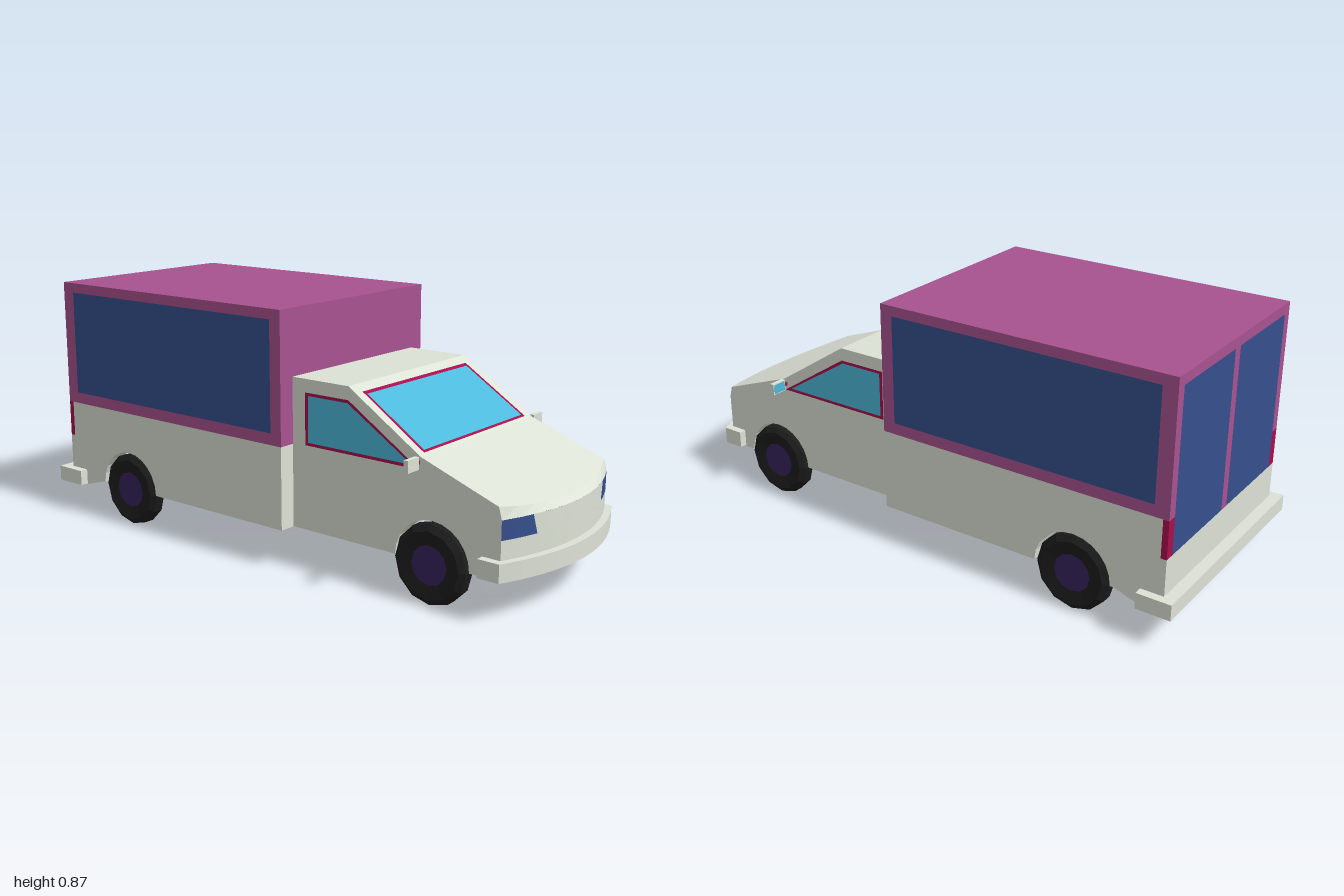
import * as THREE from 'three';

const mat = (color) => new THREE.MeshStandardMaterial({ color, flatShading: true, side: THREE.DoubleSide });
const BODY = mat(0xdde2d6), BOX = mat(0xa8528f), BLUE = mat(0x364f8d), GLASS = mat(0x4db9dc);
const RED = mat(0xa80f4c), BLACK = mat(0x1c1c1c), HUB = mat(0x38235c);

const lerp = THREE.MathUtils.lerp;
const pts = (list) => list.map(([a, b]) => new THREE.Vector2(a, b));
const rect = (a, b, c, d) => [[a, b], [c, b], [c, d], [a, d]];
const SILL = 0.135;

export function createModel() {
  const van = new THREE.Group();
  van.name = 'boxVan';

  const add = (name, geometry, material) => {
    const mesh = new THREE.Mesh(geometry, material);
    mesh.name = name;
    van.add(mesh);
    return mesh;
  };

  // Flat panel with optional holes, placed in space by place(u, v)
  const panel = (name, material, outline, holes, place) => {
    const shape = new THREE.Shape(pts(outline));
    holes.forEach((h) => shape.holes.push(new THREE.Path(pts(h))));
    const g = new THREE.ShapeGeometry(shape), p = g.attributes.position;
    for (let i = 0; i < p.count; i++) p.setXYZ(i, ...place(p.getX(i), p.getY(i)));
    g.computeVertexNormals();
    return add(name, g, material);
  };

  // Curved sheet: fn(s, t) with s, t from 0 to 1 (t = 1 is the top)
  const sheet = (name, material, cols, rows, fn) => {
    const g = new THREE.PlaneGeometry(1, 1, cols, rows), p = g.attributes.position;
    for (let i = 0; i < p.count; i++) p.setXYZ(i, ...fn(p.getX(i) + 0.5, p.getY(i) + 0.5));
    g.computeVertexNormals();
    return add(name, g, material);
  };

  // Flat ledge running inward along a bottom edge of [z, y] points
  const ledge = (name, path, x0, x1) =>
    sheet(name, BODY, path.length - 1, 1, (s, t) => {
      const [z, y] = path[Math.round(s * (path.length - 1))];
      return [lerp(x0, x1, t), y, z];
    });

  // Half-round wheel arch, listed from back to front
  const arch = (z) => Array.from({ length: 13 }, (_, i) => {
    const a = Math.PI * (1 - i / 12);
    return [z + 0.137 * Math.cos(a), SILL + 0.137 * Math.sin(a)];
  });

  const noseZ = (x) => 0.975 - 0.7 * x * x;
  const hoodEdgeZ = (x) => 0.953 - 0.6 * x * x;
  const hoodY = (z) => 0.465 - 0.362 * (z - 0.61);
  const frontZ = noseZ(0.33), edgeZ = hoodEdgeZ(0.33);

  // Cab and box sides
  const cabBottom = [[0.1, SILL], ...arch(0.655), [frontZ, SILL]];
  const boxBottom = [[-0.96, 0.11], [-0.87, 0.11], [-0.79, SILL], ...arch(-0.64), [0.1, SILL]];
  const cabSide = [...cabBottom, [frontZ, 0.325], [edgeZ, hoodY(edgeZ)], [0.61, 0.465], [0.33, 0.645], [0.1, 0.645]];
  const windowRim = [[0.153, 0.424], [0.606, 0.424], [0.33, 0.6], [0.153, 0.6]];
  const windowPane = [[0.165, 0.434], [0.577, 0.434], [0.327, 0.59], [0.165, 0.59]];
  const sidePanel = rect(-0.91, 0.46, 0.055, 0.835);
  const lamp = rect(-0.96, 0.29, -0.94, 0.42);
  for (const [side, k] of [['left', 1], ['right', -1]]) {
    const cab = (z, y) => [k * 0.33, y, z], box = (z, y) => [k * 0.39, y, z];
    panel(side + 'CabSide', BODY, cabSide, [windowRim], cab);
    panel(side + 'WindowFrame', RED, windowRim, [windowPane], cab);
    panel(side + 'WindowGlass', GLASS, windowPane, [], cab);
    ledge(side + 'CabSill', cabBottom, k * 0.33, k * 0.275);

    panel(side + 'BoxLowerSide', BODY,
      [...boxBottom, [0.1, 0.42], [-0.94, 0.42], [-0.94, 0.29], [-0.96, 0.29]], [], box);
    panel(side + 'TailLightSide', RED, lamp, [], box);
    panel(side + 'BoxUpperSide', BOX, rect(-0.96, 0.42, 0.1, 0.87), [sidePanel], box);
    panel(side + 'BoxSidePanel', BLUE, sidePanel, [], box);
    ledge(side + 'BoxSill', boxBottom, k * 0.39, k * 0.33);

    // Rear face, half per side
    const rear = (x, y) => [k * x, y, -0.96];
    panel(side + 'RearLowerPanel', BODY, rect(0, 0.11, 0.39, 0.29), [], rear);
    panel(side + 'RearDoorPanel', BLUE, rect(0.018, 0.29, 0.355, 0.835), [], rear);
    panel(side + 'TailLightRear', RED, rect(0.355, 0.29, 0.39, 0.42), [], rear);
    panel(side + 'RearDoorFrame', BOX, [[0, 0.29], [0.018, 0.29], [0.018, 0.835], [0.355, 0.835],
      [0.355, 0.42], [0.39, 0.42], [0.39, 0.87], [0, 0.87]], [], rear);

    // Shoulder between cab and wider box
    panel(side + 'BoxShoulder', BODY, rect(0.33, SILL, 0.39, 0.42), [], (x, y) => [k * x, y, 0.1]);

    // Headlight set in the curved nose
    sheet(side + 'Headlight', BLUE, 3, 1, (s, t) => {
      const x = lerp(lerp(0.203, 0.22, t), 0.33, s);
      return [k * x, lerp(0.262, 0.325, t), noseZ(x)];
    });

    // Door mirror
    add(side + 'MirrorStrut', new THREE.BoxGeometry(0.03, 0.012, 0.01), RED).position.set(k * 0.338, 0.448, 0.602);
    add(side + 'MirrorHousing', new THREE.BoxGeometry(0.058, 0.04, 0.016), BODY).position.set(k * 0.371, 0.448, 0.604);
    add(side + 'MirrorGlass', new THREE.BoxGeometry(0.05, 0.033, 0.002), GLASS).position.set(k * 0.371, 0.448, 0.595);
  }

  // Box roof and front wall, open where the cab joins
  panel('boxRoof', BOX, rect(-0.39, -0.96, 0.39, 0.1), [], (x, z) => [x, 0.87, z]);
  panel('boxFrontWall', BOX, [[-0.39, 0.42], [-0.33, 0.42], [-0.33, 0.645], [0.33, 0.645],
    [0.33, 0.42], [0.39, 0.42], [0.39, 0.87], [-0.39, 0.87]], [], (x, y) => [x, y, 0.1]);

  // Cab roof and windscreen
  panel('cabRoof', BODY, rect(-0.33, 0.1, 0.33, 0.33), [], (x, z) => [x, 0.645, z]);
  const slope = (x, y) => [x, y, 0.33 + (0.645 - y) / 0.18 * 0.28];
  const screenRim = [[-0.3, 0.471], [0.3, 0.471], [0.295, 0.626], [-0.295, 0.626]];
  const screenPane = [[-0.289, 0.476], [0.289, 0.476], [0.284, 0.619], [-0.284, 0.619]];
  panel('windscreenSurround', BODY, rect(-0.33, 0.465, 0.33, 0.645), [screenRim], slope);
  panel('windscreenFrame', RED, screenRim, [screenPane], slope);
  panel('windscreenGlass', GLASS, screenPane, [], slope);

  // Hood and curved nose
  sheet('hood', BODY, 10, 1, (s, t) => {
    const x = lerp(-0.33, 0.33, s), z = lerp(hoodEdgeZ(x), 0.61, t);
    return [x, hoodY(z), z];
  });
  sheet('noseLip', BODY, 10, 1, (s, t) => {
    const x = lerp(-0.33, 0.33, s), z = hoodEdgeZ(x);
    return [x, lerp(0.325, hoodY(z), t), lerp(noseZ(x), z, t)];
  });
  sheet('grillePanel', BODY, 8, 1, (s, t) => {
    const w = lerp(0.203, 0.22, t), x = lerp(-w, w, s);
    return [x, lerp(0.262, 0.325, t), noseZ(x)];
  });
  sheet('noseLower', BODY, 10, 1, (s, t) => {
    const x = lerp(-0.33, 0.33, s);
    return [x, lerp(SILL, 0.262, t), noseZ(x)];
  });

  // Bumpers: C-shaped plan outlines in x, z, raised to a height
  const bumper = (name, outline, y, height) => {
    const shape = new THREE.Shape(pts(outline.map(([x, z]) => [x, -z])));
    const g = new THREE.ExtrudeGeometry(shape, { depth: height, bevelEnabled: false });
    add(name, g.rotateX(-Math.PI / 2), BODY).position.y = y;
  };
  const curve = (w, z0) => Array.from({ length: 11 }, (_, i) => {
    const x = lerp(-w, w, i / 10);
    return [x, z0 - 0.7 * x * x];
  });
  bumper('frontBumper', [[-0.357, 0.835], ...curve(0.357, 1), [0.357, 0.835], [0.31, 0.835],
    ...curve(0.31, 0.945).reverse(), [-0.31, 0.835]], 0.14, 0.06);
  bumper('rearBumper', [[-0.42, -0.88], [-0.42, -1], [0.42, -1], [0.42, -0.88],
    [0.36, -0.88], [0.36, -0.93], [-0.36, -0.93], [-0.36, -0.88]], 0.11, 0.055);

  // Axles and wheels
  const tyreProfile = pts([[0.065, -0.026], [0.112, -0.0325], [0.132, -0.018], [0.132, 0.018], [0.112, 0.0325], [0.065, 0.026]]);
  for (const [place, z, outer] of [['front', 0.655, 0.35], ['rear', -0.64, 0.395]]) {
    const axle = new THREE.CylinderGeometry(0.024, 0.024, outer * 2 - 0.1, 10).rotateZ(Math.PI / 2);
    add(place + 'Axle', axle, BLACK).position.set(0, 0.133, z);
    for (const [side, k] of [['Left', 1], ['Right', -1]]) {
      const x = k * (outer - 0.0325);
      add(place + side + 'Tyre', new THREE.LatheGeometry(tyreProfile, 12).rotateZ(Math.PI / 2), BLACK).position.set(x, 0.132, z);
      add(place + side + 'Hub', new THREE.CylinderGeometry(0.066, 0.066, 0.026, 12).rotateZ(Math.PI / 2), HUB)
        .position.set(x + k * 0.013, 0.132, z);
      add(place + side + 'InnerDisc', new THREE.CylinderGeometry(0.066, 0.066, 0.026, 12).rotateZ(Math.PI / 2), BLACK)
        .position.set(x - k * 0.0135, 0.132, z);
    }
  }
  return van;
}
